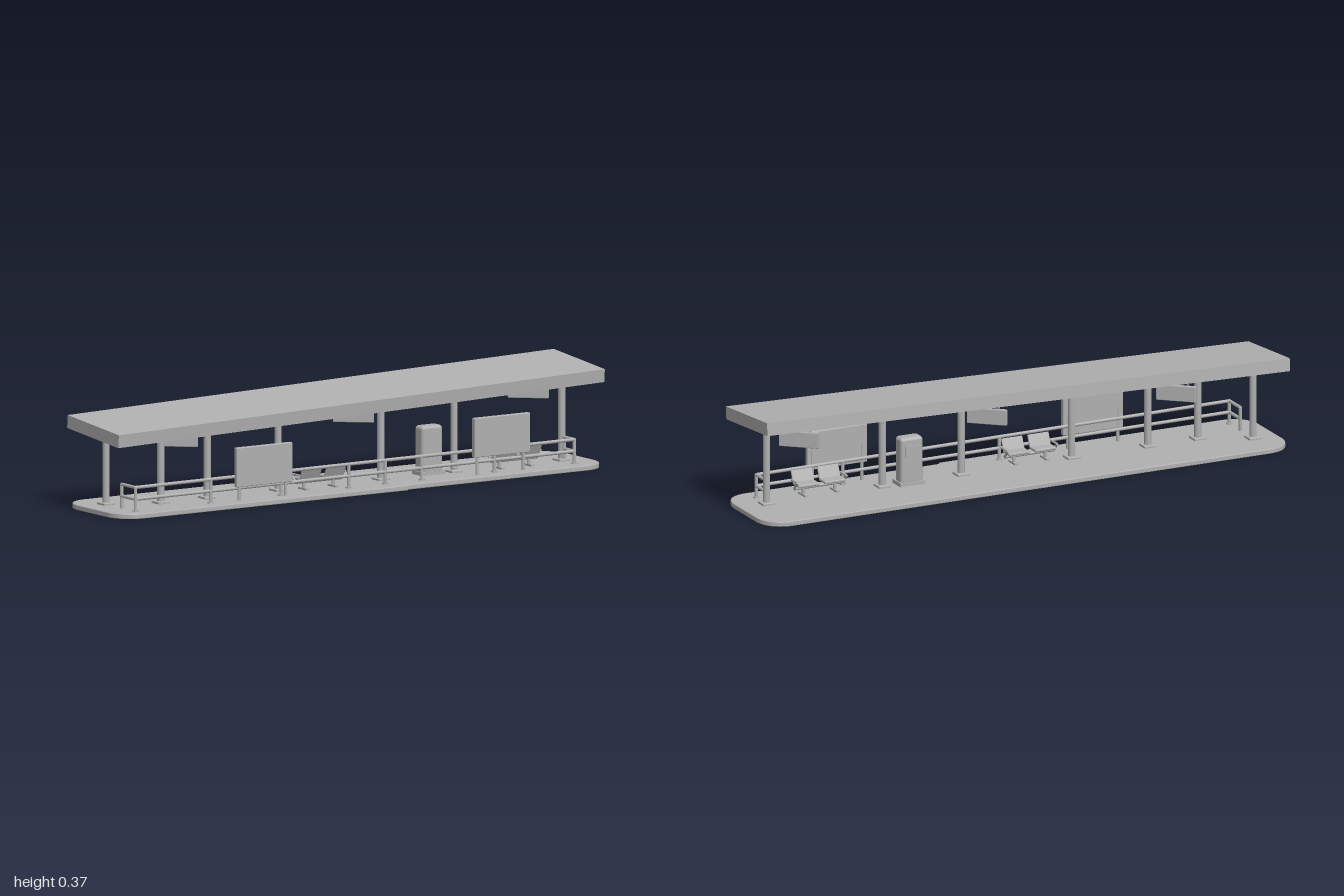
import * as THREE from 'three';
import { RoundedBoxGeometry } from 'three/addons/geometries/RoundedBoxGeometry.js';

const grey = new THREE.MeshStandardMaterial({ color: 0xb0b0b0 });
grey.name = 'concreteGrey';

const DECK = 0.018; // top of the platform
// Height of the sloping roof surface
const roofY = (x, z) => 0.331 + 0.025 * x - 0.09 * z;

function add(parent, name, geometry, x = 0, y = 0, z = 0) {
  const mesh = new THREE.Mesh(geometry, grey);
  mesh.name = name;
  mesh.position.set(x, y, z);
  parent.add(mesh);
  return mesh;
}

function box(parent, name, w, h, d, x, y, z) {
  return add(parent, name, new THREE.BoxGeometry(w, h, d), x, y, z);
}

// Round bar between two points
function bar(parent, name, a, b, r, sides = 10) {
  const from = new THREE.Vector3(...a), to = new THREE.Vector3(...b);
  const dir = to.clone().sub(from);
  const mesh = add(parent, name, new THREE.CylinderGeometry(r, r, dir.length(), sides));
  mesh.position.copy(from).add(to).multiplyScalar(0.5);
  mesh.quaternion.setFromUnitVectors(new THREE.Vector3(0, 1, 0), dir.normalize());
  return mesh;
}

// Tilts a geometry built at y = 0 onto the roof plane
function onRoof(geometry) {
  const p = geometry.attributes.position;
  for (let i = 0; i < p.count; i++) {
    const x = p.getX(i), y = p.getY(i), z = p.getZ(i);
    p.setXYZ(i, x, y + roofY(x, z), z + 0.09 * y);
  }
  geometry.computeVertexNormals();
  return geometry;
}

function roofBox(parent, name, x0, x1, y0, y1, z0, z1) {
  const g = new THREE.BoxGeometry(x1 - x0, y1 - y0, z1 - z0);
  g.translate((x0 + x1) / 2, (y0 + y1) / 2, (z0 + z1) / 2);
  return add(parent, name, onRoof(g));
}

// Rounded slab with a small step in its front edge
function platform(parent) {
  const r = 0.085, s = new THREE.Shape();
  s.moveTo(-1 + r, -0.183);
  s.lineTo(0.17, -0.183);
  s.lineTo(0.17, -0.171);
  s.lineTo(1 - r, -0.171);
  s.quadraticCurveTo(0.99, -0.165, 1, -0.171 + r);
  s.lineTo(1, 0.185 - r);
  s.quadraticCurveTo(0.99, 0.175, 1 - r, 0.185);
  s.lineTo(-1 + r, 0.185);
  s.quadraticCurveTo(-0.99, 0.175, -1, 0.185 - r);
  s.lineTo(-1, -0.183 + r);
  s.quadraticCurveTo(-0.99, -0.173, -1 + r, -0.183);
  const g = new THREE.ExtrudeGeometry(s, {
    depth: DECK - 0.006, bevelThickness: 0.003, bevelSize: 0.003, bevelOffset: -0.003, bevelSegments: 2, curveSegments: 10,
  });
  g.rotateX(-Math.PI / 2);
  add(parent, 'platform', g, 0, 0.003, 0);
}

function roof(parent) {
  const g = new THREE.Group();
  g.name = 'roof';
  parent.add(g);
  const L = -0.998, R = 0.99, B = -0.153, F = 0.16, t = 0.014;
  roofBox(g, 'roofDeck', L, R, -0.016, 0, B, F);
  roofBox(g, 'frontFascia', L, R, -0.045, -0.016, F - t, F);
  roofBox(g, 'backFascia', L, R, -0.045, -0.016, B, B + t);
  for (const x of [L, R - t]) roofBox(g, 'endFascia', x, x + t, -0.045, -0.016, B + t, F - t);
  for (const z of [-0.09, -0.02, 0.085]) roofBox(g, 'purlin', L + t, R - t, -0.034, -0.016, z - 0.007, z + 0.007);
  for (const x of [0.36, -0.4]) roofBox(g, 'ceilingLight', x - 0.06, x + 0.06, -0.026, -0.016, -0.07, -0.038);
}

// Post with foot plate and a pair of tapered arms under the roof
function roofPost(parent, x, z) {
  const g = new THREE.Group();
  g.name = 'roofPost';
  parent.add(g);
  bar(g, 'post', [x, DECK, z], [x, roofY(x, z) - 0.015, z], 0.0125, 16);
  add(g, 'footPlate', new RoundedBoxGeometry(0.046, 0.01, 0.046, 2, 0.003), x, DECK + 0.003, z);
  const s = new THREE.Shape();
  s.moveTo(-0.145, -0.016);
  s.lineTo(-0.145, -0.034);
  s.lineTo(z - 0.015, -0.062);
  s.lineTo(z + 0.015, -0.062);
  s.lineTo(0.15, -0.034);
  s.lineTo(0.15, -0.016);
  const arm = new THREE.ExtrudeGeometry(s, { depth: 0.016, bevelEnabled: false });
  arm.rotateY(-Math.PI / 2);
  arm.translate(x + 0.008, 0, 0);
  add(g, 'roofArms', onRoof(arm));
}

// Sign turned diagonally, hung from the ceiling on two rods
function hangingSign(parent, x) {
  const g = new THREE.Group();
  g.name = 'hangingSign';
  g.position.set(x, 0.236 + 0.027 * x, -0.047);
  g.rotation.y = -0.71;
  parent.add(g);
  add(g, 'signBox', new RoundedBoxGeometry(0.14, 0.056, 0.014, 2, 0.003));
  for (const s of [-1, 1]) bar(g, 'hanger', [s * 0.04, 0.025, 0], [s * 0.04, 0.085, 0], 0.003, 8);
}

// Two-bar railing along the front, returning inwards at both ends
function railing(parent) {
  const g = new THREE.Group();
  g.name = 'railing';
  parent.add(g);
  const x0 = -0.91, x1 = 0.9, r = 0.006;
  const railZ = x => 0.13 - 0.023 * (x - x0) / (x1 - x0);
  for (const y of [0.1, 0.06]) {
    bar(g, 'frontRail', [x0, y, railZ(x0)], [x1, y, railZ(x1)], r);
    for (const x of [x0, x1]) {
      bar(g, 'endRail', [x, y, railZ(x)], [x, y, 0.045], r);
      add(g, 'railElbow', new THREE.SphereGeometry(r, 10, 8), x, y, railZ(x));
    }
  }
  for (const x of [x0, -0.6, -0.31, -0.03, 0.12, 0.27, 0.57, x1]) {
    bar(g, 'railPost', [x, DECK, railZ(x)], [x, 0.1, railZ(x)], r);
    add(g, 'railFoot', new THREE.CylinderGeometry(0.011, 0.011, 0.005, 12), x, DECK + 0.002, railZ(x));
  }
  for (const x of [x0, x1]) bar(g, 'endPost', [x, DECK, 0.045], [x, 0.1, 0.045], r);
}

// Upright display board fixed to the railing
function displayBoard(parent, x, y) {
  const g = new THREE.Group();
  g.name = 'displayBoard';
  parent.add(g);
  add(g, 'board', new RoundedBoxGeometry(0.228, 0.136, 0.018, 2, 0.003), x, y, 0.134);
  for (const s of [-1, 1]) bar(g, 'boardLeg', [x + s * 0.095, DECK, 0.128], [x + s * 0.095, y, 0.128], 0.006);
}

// Twin-seat bench facing the back
function bench(parent, x) {
  const g = new THREE.Group();
  g.name = 'bench';
  g.position.set(x, 0, 0.06);
  parent.add(g);
  bar(g, 'benchBeam', [-0.095, 0.046, 0], [0.095, 0.046, 0], 0.006);
  for (const s of [-1, 1]) {
    add(g, 'seat', new RoundedBoxGeometry(0.08, 0.01, 0.045, 2, 0.004), s * 0.05, 0.058, -0.004);
    const back = add(g, 'backrest', new RoundedBoxGeometry(0.08, 0.05, 0.008, 2, 0.003), s * 0.05, 0.077, 0.027);
    back.rotation.x = 0.42;
    bar(g, 'benchLeg', [s * 0.06, DECK, 0], [s * 0.06, 0.05, 0], 0.006);
    box(g, 'benchFoot', 0.014, 0.007, 0.05, s * 0.06, DECK + 0.003, 0);
    bar(g, 'armrest', [s * 0.094, 0.072, -0.022], [s * 0.094, 0.072, 0.024], 0.004);
    bar(g, 'armrestPost', [s * 0.094, 0.046, 0], [s * 0.094, 0.072, -0.022], 0.004);
  }
}

// Ticket machine with rounded top corners
function kiosk(parent) {
  const g = new THREE.Group();
  g.name = 'ticketMachine';
  parent.add(g);
  add(g, 'machineBody', new RoundedBoxGeometry(0.085, 0.165, 0.05, 4, 0.012), 0.363, 0.105, 0.02);
  box(g, 'machineBase', 0.095, 0.014, 0.06, 0.363, DECK + 0.006, 0.02);
  box(g, 'machineScreen', 0.055, 0.04, 0.006, 0.363, 0.14, -0.006);
}

export function createModel() {
  const model = new THREE.Group();
  model.name = 'platformShelter';
  platform(model);
  roof(model);
  roofPost(model, -0.91, -0.05);
  for (const x of [-0.74, -0.55, -0.26, 0.16, 0.46, 0.9]) roofPost(model, x, 0.03);
  for (const x of [-0.62, 0.1, 0.815]) hangingSign(model, x);
  railing(model);
  displayBoard(model, -0.39, 0.133);
  displayBoard(model, 0.583, 0.148);
  bench(model, -0.115);
  bench(model, 0.685);
  kiosk(model);
  return model;
}
